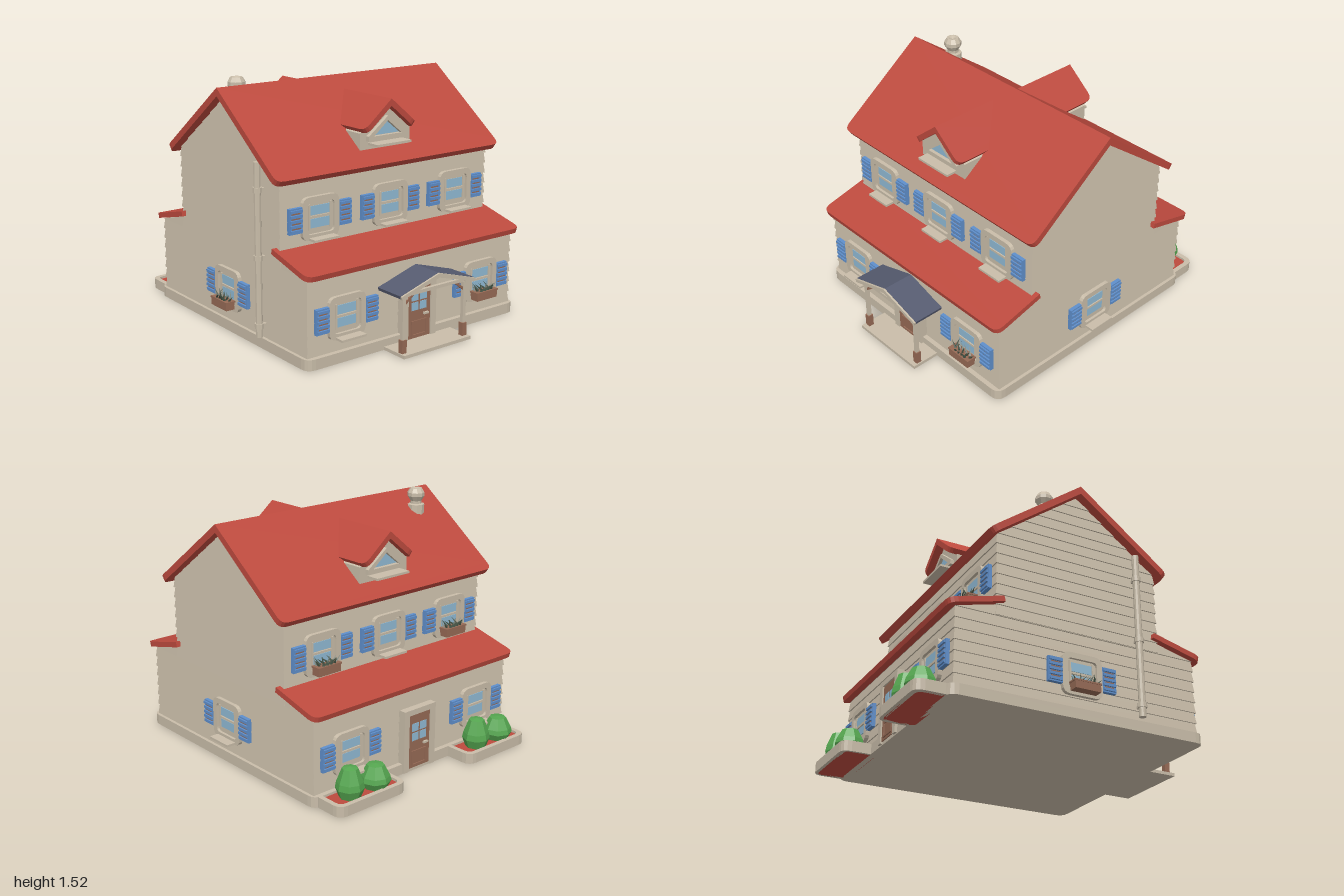
import * as THREE from 'three';

const mat = (name, color) => Object.assign(new THREE.MeshStandardMaterial({ color, flatShading: true }), { name });

export function createModel() {
  const beige = mat('beige siding', 0xc9bda9), red = mat('red roof', 0xbd4a3e), blue = mat('blue shutter', 0x5f8fcb);
  const glass = mat('pale blue glass', 0x90bad4), brown = mat('brown wood', 0x966a55), slate = mat('slate porch roof', 0x565b70);
  const green = mat('green bush', 0x55a650), leaf = mat('dark leaves', 0x435243);
  const house = new THREE.Group();
  house.name = 'house';

  const add = (parent, name, geo, material, x = 0, y = 0, z = 0) => {
    const m = new THREE.Mesh(geo, material);
    m.name = name;
    m.position.set(x, y, z);
    parent.add(m);
    return m;
  };
  const box = (parent, name, material, w, h, d, x, y, z) => add(parent, name, new THREE.BoxGeometry(w, h, d), material, x, y, z);
  const group = (name, x = 0, y = 0, z = 0, ry = 0, parent = house) => {
    const g = new THREE.Group();
    g.name = name;
    g.position.set(x, y, z);
    g.rotation.y = ry;
    parent.add(g);
    return g;
  };
  const rounded = (w, h, r, T = THREE.Shape) => {
    const s = new T(), a = w / 2, b = h / 2;
    s.moveTo(-a + r, -b).lineTo(a - r, -b).quadraticCurveTo(a, -b, a, -b + r).lineTo(a, b - r).quadraticCurveTo(a, b, a - r, b);
    s.lineTo(-a + r, b).quadraticCurveTo(-a, b, -a, b - r).lineTo(-a, -b + r).quadraticCurveTo(-a, -b, -a + r, -b);
    return s;
  };
  const poly = (pts, T = THREE.Shape) => new T(pts.map(p => new THREE.Vector2(...p)));
  const extrude = (shape, depth) => new THREE.ExtrudeGeometry(shape, { depth, bevelEnabled: false, curveSegments: 4 });
  const withHole = (shape, hole) => { shape.holes.push(hole); return shape; };

  // One clapboard course: a box whose top edge leans inward
  const course = (name, y0, y1, x, z0, z1) => {
    const geo = new THREE.BoxGeometry(2, y1 - y0, 2), p = geo.attributes.position;
    for (let i = 0; i < p.count; i++) {
      const top = p.getY(i) > 0;
      p.setX(i, p.getX(i) * (top ? x - 0.008 : x));
      p.setZ(i, p.getZ(i) * (top ? z1 : z0));
    }
    geo.computeVertexNormals();
    add(house, name, geo, beige, 0, (y0 + y1) / 2, 0);
  };

  // Foundation and walls
  add(house, 'foundation', extrude(rounded(1.62, 1.64, 0.06), 0.065).rotateX(-Math.PI / 2), beige);
  for (let i = 0; i < 7; i++) course('lowerSiding', 0.065 + i * 0.066, 0.131 + i * 0.066, 0.79, 0.79, 0.782);
  course('lowerSiding', 0.527, 0.6, 0.79, 0.785, 0.51);
  for (let i = 0; i < 8; i++) course('upperSiding', 0.53 + i * 0.065, 0.595 + i * 0.065, 0.794, 0.54, 0.532);
  const gableZ = y => (1.44 - y) / 0.733;
  for (let i = 0; i < 6; i++) {
    const y0 = 1.05 + i * 0.065, y1 = y0 + 0.065;
    course('gableSiding', y0, y1, 0.794, gableZ(y0), Math.max(gableZ(y1), 0.001));
  }

  // Sloping slab from a high edge (z0, y0) to an eave (z1, y1) with rounded eave corners
  const slab = (parent, name, material, hx, z0, y0, z1, y1, t, r) => {
    const L = Math.hypot(z1 - z0, y1 - y0), s = new THREE.Shape();
    s.moveTo(-hx, 0).lineTo(hx, 0).lineTo(hx, L - r).quadraticCurveTo(hx, L, hx - r, L);
    s.lineTo(-hx + r, L).quadraticCurveTo(-hx, L, -hx, L - r);
    const X = new THREE.Vector3(1, 0, 0), S = new THREE.Vector3(0, (y1 - y0) / L, (z1 - z0) / L);
    const basis = new THREE.Matrix4().makeBasis(X, S, X.clone().cross(S)).setPosition(0, y0, z0);
    add(parent, name, extrude(s, t).applyMatrix4(basis), material);
  };
  for (const ry of [0, Math.PI]) {
    const side = group('roofSide', 0, 0, 0, ry);
    slab(side, 'mainRoof', red, 0.85, 0, 1.49, 0.6, 1.045, 0.04, 0.05);
    slab(side, 'lowerRoof', red, 0.82, 0.5, 0.64, 0.838, 0.555, 0.033, 0.055);

    // Dormer with triangular window
    const d = group('dormer', 0, 0, 0, 0, side);
    add(d, 'dormerWall', extrude(poly([[-0.19, 1.12], [0.19, 1.12], [0.19, 1.22], [0, 1.375], [-0.19, 1.22]]), 0.35), beige, 0, 0, 0.15);
    for (const a of [1, -1]) {
      const half = group('dormerRoofSide', 0, 0, 0.3, a * Math.PI / 2, d);
      slab(half, 'dormerRoof', red, 0.255, 0, 1.415, 0.2, 1.25, 0.034, 0.05);
    }
    const tri = poly([[-0.145, 1.17], [0.145, 1.17], [0.145, 1.2], [0, 1.31], [-0.145, 1.2]]);
    add(d, 'dormerFrame', extrude(withHole(tri, poly([[-0.105, 1.197], [0, 1.283], [0.105, 1.197]], THREE.Path)), 0.025), beige, 0, 0, 0.5);
    add(d, 'dormerGlass', extrude(poly([[-0.1, 1.2], [0.1, 1.2], [0, 1.28]]), 0.006), glass, 0, 0, 0.5);
    box(d, 'dormerSill', beige, 0.26, 0.014, 0.09, 0, 1.152, 0.54);
  }

  // Flower box with spiky leaves
  const flowerBox = (parent) => {
    const g = group('flowerBox', 0, 0, 0, 0, parent);
    box(g, 'flowerTrough', brown, 0.165, 0.05, 0.06, 0, -0.085, 0.052);
    box(g, 'flowerTroughRim', brown, 0.175, 0.01, 0.066, 0, -0.061, 0.052);
    for (let i = 0; i < 14; i++) {
      const m = add(g, 'leaf', new THREE.ConeGeometry(0.009, 0.058, 4).translate(0, 0.029, 0), leaf,
        -0.065 + i * 0.01, -0.06, 0.052 + (i % 3 - 1) * 0.015);
      m.rotation.set((i % 3 - 1) * 0.5, 0, Math.sin(i * 2.3) * 0.8);
    }
  };

  // Window with rounded surround, two panes and louvred shutters
  const windowAt = (x, y, z, ry, flowers) => {
    const w = group('window', x, y, z, ry);
    add(w, 'windowSurround', extrude(withHole(rounded(0.26, 0.255, 0.05), rounded(0.19, 0.185, 0.025, THREE.Path)), 0.025), beige);
    add(w, 'windowSash', extrude(rounded(0.2, 0.2, 0.01), 0.008), beige);
    for (const s of [-1, 1]) {
      box(w, 'windowPane', glass, 0.135, 0.054, 0.006, 0, 0.006 + s * 0.038, 0.009);
      box(w, 'sashStile', beige, 0.012, 0.15, 0.014, s * 0.075, 0.006, 0.009);
      const sh = group('shutter', s * 0.175, 0.003, 0.012, 0, w);
      box(sh, 'shutterPanel', blue, 0.09, 0.15, 0.024, 0, 0, 0);
      for (let i = 0; i < 5; i++) box(sh, 'shutterSlat', blue, 0.082, 0.016, 0.012, 0, -0.058 + i * 0.029, 0.016);
      for (let i = 0; i < 4; i++) box(sh, 'shutterGap', brown, 0.06, 0.008, 0.004, 0, -0.0435 + i * 0.029, 0.0125);
    }
    box(w, 'sashRail', beige, 0.15, 0.014, 0.014, 0, 0.006, 0.009);
    if (flowers) flowerBox(w);
    else box(w, 'windowSill', beige, 0.175, 0.014, 0.085, 0, -0.117, 0.042);
  };
  for (const x of [-0.52, 0, 0.52]) {
    windowAt(x, 0.788, 0.538, 0, false);
    windowAt(x, 0.788, -0.538, Math.PI, x !== 0);
  }
  for (const x of [-0.52, 0.52]) {
    windowAt(x, 0.267, 0.788, 0, x > 0);
    windowAt(x, 0.267, -0.788, Math.PI, false);
  }
  windowAt(0.788, 0.267, 0, Math.PI / 2, false);
  windowAt(-0.788, 0.267, 0, -Math.PI / 2, true);

  // Front and back doors
  for (const ry of [0, Math.PI]) {
    const d = group('doorway', 0, 0, 0, ry);
    box(d, 'door', brown, 0.176, 0.345, 0.04, 0, 0.193, 0.806);
    for (const s of [-1, 1]) {
      box(d, 'doorJamb', beige, 0.04, 0.385, 0.055, s * 0.108, 0.2, 0.808);
      for (const y of [0.22, 0.28]) box(d, 'doorPane', glass, 0.052, 0.05, 0.006, s * 0.032, y, 0.826);
      box(d, 'doorPanelTrim', brown, 0.01, 0.085, 0.01, s * 0.055, 0.083, 0.828);
    }
    for (const y of [0.04, 0.126]) box(d, 'doorPanelTrim', brown, 0.12, 0.01, 0.01, 0, y, 0.828);
    box(d, 'doorLintel', beige, 0.256, 0.035, 0.055, 0, 0.383, 0.808);
    box(d, 'doorHandle', beige, 0.035, 0.012, 0.016, 0.05, 0.165, 0.832);
  }

  // Front porch
  const porch = group('porch');
  box(porch, 'porchStep', beige, 0.52, 0.02, 0.2, 0, 0.01, 0.9);
  for (const s of [-1, 1]) {
    box(porch, 'porchPost', beige, 0.022, 0.35, 0.022, s * 0.235, 0.195, 0.955);
    box(porch, 'postBase', brown, 0.034, 0.08, 0.034, s * 0.235, 0.06, 0.955);
    box(porch, 'postCap', beige, 0.036, 0.014, 0.036, s * 0.235, 0.352, 0.955);
    box(porch, 'sideBeam', beige, 0.022, 0.022, 0.19, s * 0.235, 0.367, 0.885);
    const brace = box(porch, 'porchBrace', brown, 0.09, 0.014, 0.014, s * 0.198, 0.335, 0.955);
    brace.rotation.z = -s * 0.65;
    const half = group('porchRoofSide', 0, 0, 0.888, s * Math.PI / 2, porch);
    slab(half, 'porchRoof', slate, 0.1, 0, 0.465, 0.285, 0.38, 0.02, 0.002);
  }
  box(porch, 'frontBeam', beige, 0.5, 0.02, 0.022, 0, 0.368, 0.955);
  add(porch, 'gableTrim', extrude(poly([[-0.285, 0.378], [-0.28, 0.358], [0, 0.437], [0.28, 0.358], [0.285, 0.378], [0, 0.464]]), 0.014), beige, 0, 0, 0.986);

  // Planters with bushes behind the house
  const bush = (x, r, h) => {
    const pts = [[0, 0], [0.75, 0], [1, 0.3], [0.92, 0.5], [0.55, 0.95], [0, 1]].map(([a, b]) => new THREE.Vector2(a * r, b * h));
    add(house, 'bush', new THREE.LatheGeometry(pts, 8), green, x, 0.05, -0.9);
  };
  for (const x of [-0.522, 0.522]) {
    const ring = withHole(rounded(0.515, 0.24, 0.06), rounded(0.455, 0.18, 0.04, THREE.Path));
    add(house, 'planter', extrude(ring, 0.065).rotateX(-Math.PI / 2), beige, x, 0, -0.88);
    add(house, 'planterBed', extrude(rounded(0.48, 0.2, 0.04), 0.05).rotateX(-Math.PI / 2), red, x, 0, -0.88);
    bush(x - 0.1, 0.093, 0.145);
    bush(x + 0.095, 0.085, 0.185);
  }

  // Chimney pot
  const pot = [[0.055, 1.32], [0.055, 1.415], [0.036, 1.42], [0.036, 1.437], [0.055, 1.468], [0.055, 1.49], [0.038, 1.518], [0.028, 1.518], [0, 1.505]];
  add(house, 'chimney', new THREE.LatheGeometry(pot.map(p => new THREE.Vector2(...p)), 10), beige, -0.63, 0, -0.13);

  // Drainpipe
  add(house, 'drainpipe', new THREE.CylinderGeometry(0.021, 0.021, 1.04, 10), beige, -0.832, 0.6, 0.38);
  for (const y of [0.15, 0.56, 0.96]) {
    add(house, 'pipeCollar', new THREE.CylinderGeometry(0.028, 0.028, 0.03, 10), beige, -0.832, y, 0.38);
    box(house, 'pipeBracket', beige, 0.05, 0.016, 0.02, -0.805, y, 0.38);
  }
  return house;
}
